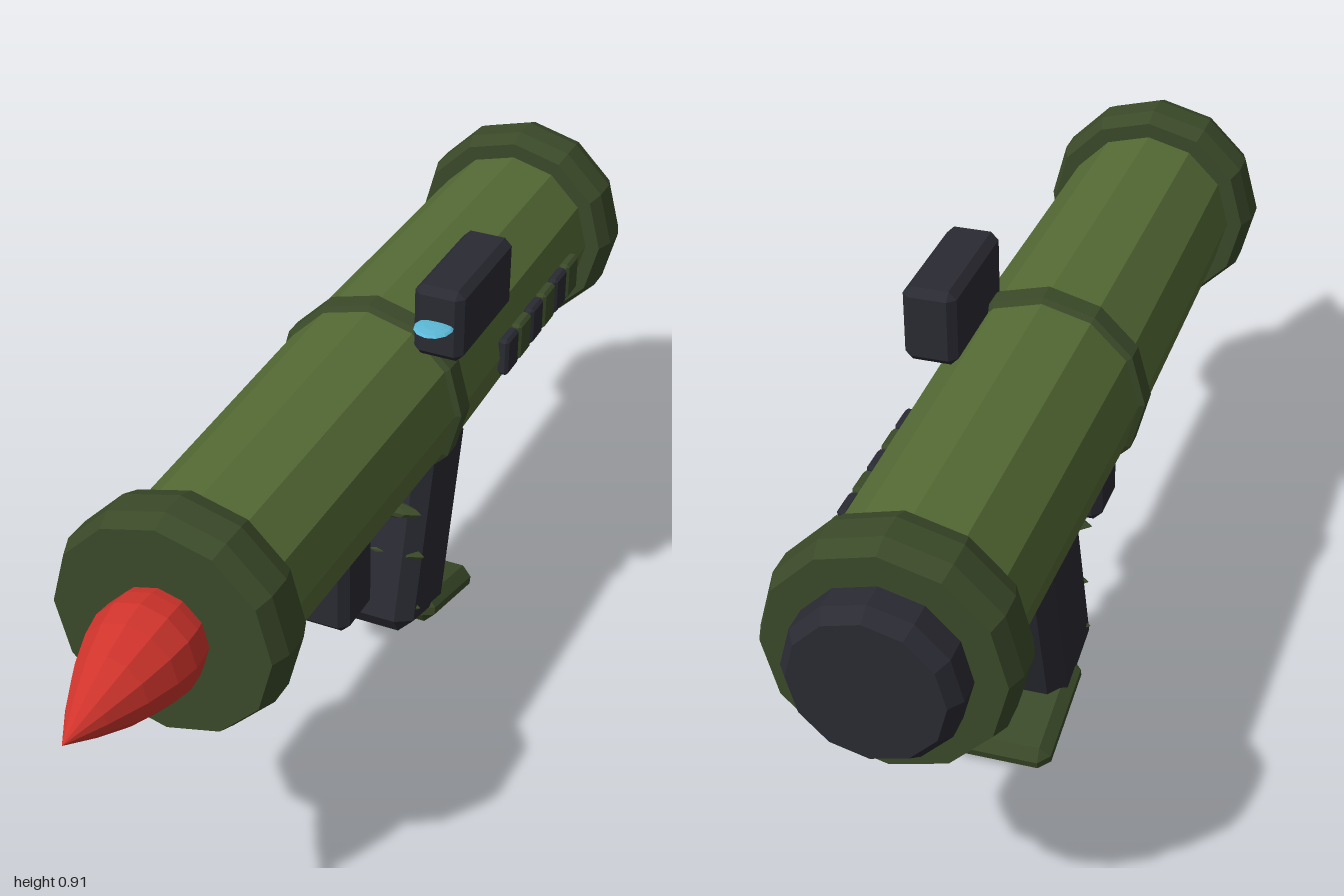
import * as THREE from 'three';
import { ConvexGeometry } from 'three/addons/geometries/ConvexGeometry.js';

const AXIS_Y = 0.647; // height of the launch tube axis

export function createModel() {
  const group = new THREE.Group();
  const paint = (name, color) => {
    const m = new THREE.MeshStandardMaterial({ color, flatShading: true });
    m.name = name;
    return m;
  };
  const olive = paint('olive green', 0x556b35);
  const darkGreen = paint('dark green', 0x3b4a29);
  const dark = paint('charcoal', 0x2a2a33);
  const red = paint('warhead red', 0xd0342c);
  const blue = paint('lens blue', 0x5cb8d6);

  const add = (name, geometry, material, x = 0, y = 0, z = 0, tilt = 0) => {
    const mesh = new THREE.Mesh(geometry, material);
    mesh.name = name;
    mesh.position.set(x, y, z);
    mesh.rotation.x = tilt;
    group.add(mesh);
    return mesh;
  };

  // Twelve-sided turned part along z; profile is [radius, z] from back to front
  const turned = (name, profile, material) => {
    const pts = profile.map(([r, z]) => new THREE.Vector2(r, z));
    const geometry = new THREE.LatheGeometry(pts, 12).rotateX(Math.PI / 2);
    return add(name, geometry, material, 0, AXIS_Y, 0);
  };

  // Box with every edge and corner chamfered by b
  const chamferBox = (w, h, d, b) => {
    const pts = [];
    for (const sx of [-1, 1]) for (const sy of [-1, 1]) for (const sz of [-1, 1]) {
      const [x, y, z] = [w / 2, h / 2, d / 2];
      pts.push(new THREE.Vector3(sx * x, sy * (y - b), sz * (z - b)));
      pts.push(new THREE.Vector3(sx * (x - b), sy * y, sz * (z - b)));
      pts.push(new THREE.Vector3(sx * (x - b), sy * (y - b), sz * z));
    }
    return new ConvexGeometry(pts);
  };

  // Launch tube, slightly fuller in the middle
  turned('launchTube', [[0, -0.85], [0.168, -0.85], [0.178, -0.11], [0.168, 0.62], [0, 0.62]], olive);
  turned('middleBand', [[0.17, -0.14], [0.188, -0.13], [0.188, -0.09], [0.17, -0.08]], darkGreen);

  // End collars
  for (const [name, z] of [['frontCollar', 0.64], ['rearCollar', -0.87]]) {
    turned(name, [[0, z - 0.06], [0.198, z - 0.06], [0.211, z - 0.025],
      [0.211, z + 0.025], [0.198, z + 0.06], [0, z + 0.06]], darkGreen);
  }

  // Rear exhaust cap
  turned('rearCap', [[0, -1], [0.127, -1], [0.145, -0.975], [0.145, -0.92], [0, -0.92]], dark);

  // Pointed warhead
  turned('warhead', [[0, 0.67], [0.083, 0.68], [0.092, 0.72], [0.095, 0.755],
    [0.087, 0.80], [0.068, 0.86], [0.037, 0.93], [0, 1]], red);

  // Sight with its flat lens
  add('sight', chamferBox(0.096, 0.142, 0.25, 0.014), dark, 0.147, 0.845, -0.182);
  const lens = add('sightLens', new THREE.SphereGeometry(0.036, 12, 6), blue, 0.147, 0.848, -0.045);
  lens.scale.set(1, 0.18, 1.1);

  // Row of alternating side panels
  for (let i = 0; i < 6; i++) {
    add('sidePanel', chamferBox(0.022, 0.078, 0.06, 0.006), i % 2 ? darkGreen : dark,
      0.18, 0.648, -0.342 - i * 0.066);
  }

  // Fore grip
  add('foreGrip', chamferBox(0.13, 0.26, 0.126, 0.018), dark, 0, 0.387, 0.083);

  // Trigger guard and trigger
  const rod = (name, pts, radius) => {
    const path = new THREE.CurvePath();
    const v = pts.map(([y, z]) => new THREE.Vector3(0, y, z));
    for (let i = 1; i < v.length; i++) path.add(new THREE.LineCurve3(v[i - 1], v[i]));
    add(name, new THREE.TubeGeometry(path, 16, radius, 6), dark);
  };
  rod('triggerGuard', [[0.49, 0], [0.37, 0], [0.352, -0.02], [0.352, -0.17]], 0.016);
  rod('trigger', [[0.49, -0.14], [0.43, -0.135], [0.385, -0.115]], 0.012);

  // Raked pistol grip with its foot
  const rake = -THREE.MathUtils.degToRad(15);
  add('pistolGrip', chamferBox(0.174, 0.43, 0.205, 0.03), dark, 0, 0.275, -0.242, rake);
  add('gripFoot', chamferBox(0.194, 0.056, 0.24, 0.02), darkGreen, 0, 0.056, -0.308, rake);

  // Finger ridges across the grip
  for (const [y, z] of [[0.368, -0.135], [0.254, -0.155], [0.138, -0.14]]) {
    const ridge = add('fingerRidge', new THREE.SphereGeometry(1, 8, 6), darkGreen, 0, y, z, rake);
    ridge.scale.set(0.095, 0.018, 0.026);
  }

  return group;
}
